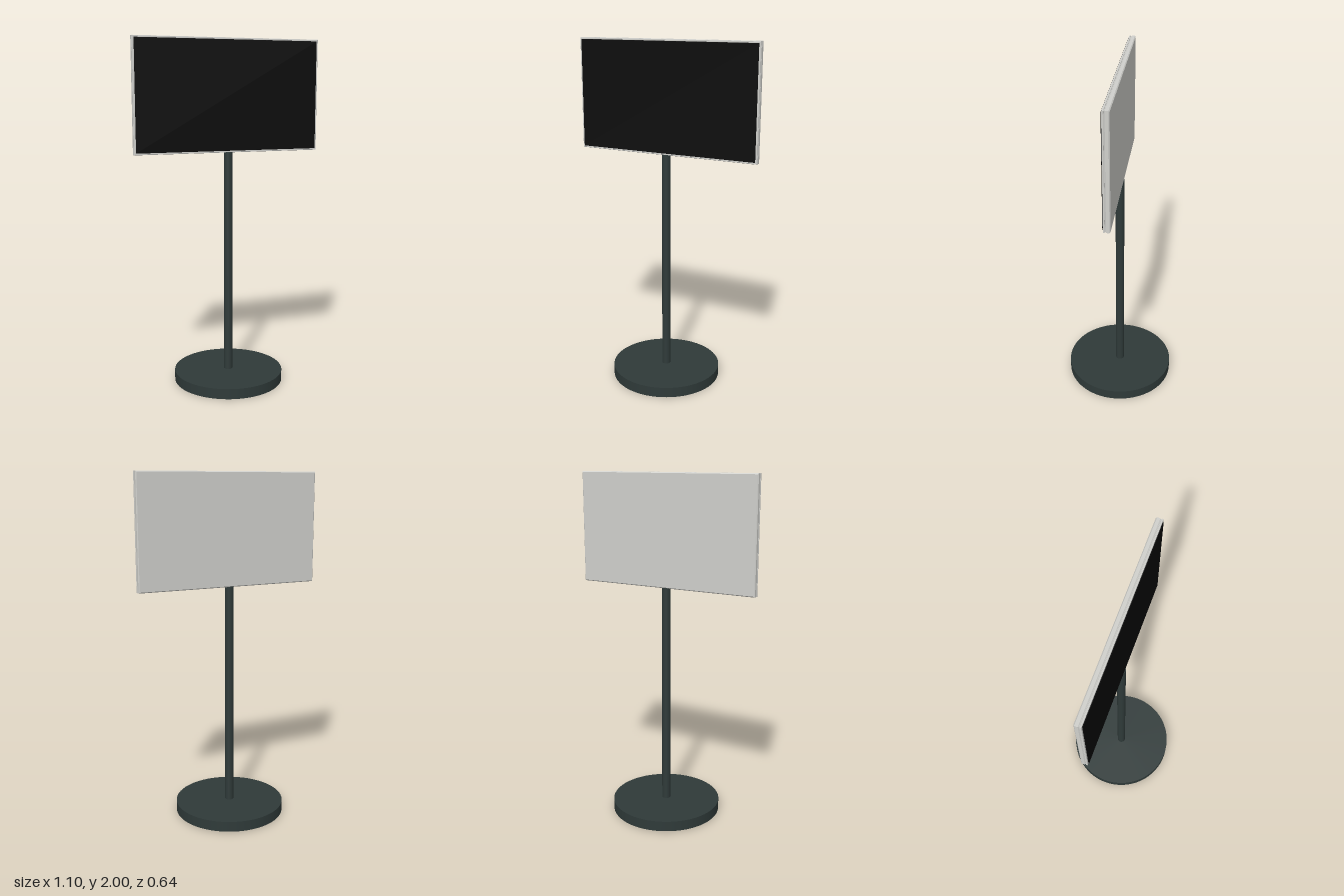
import * as THREE from 'three';

const darkMetal = new THREE.MeshStandardMaterial({ name: 'dark metal', color: 0x2f3a39 });
const lightGrey = new THREE.MeshStandardMaterial({ name: 'light grey', color: 0xd0d0cc });
const screenBlack = new THREE.MeshStandardMaterial({ name: 'screen black', color: 0x090909 });

const PANEL_Y = 1.68;

// Upright rectangular slab from z0 to z1 with chamfered edges
function slab(name, w, h, z0, z1, bevel, material) {
  const shape = new THREE.Shape([
    new THREE.Vector2(-w / 2, -h / 2), new THREE.Vector2(w / 2, -h / 2),
    new THREE.Vector2(w / 2, h / 2), new THREE.Vector2(-w / 2, h / 2),
  ]);
  const geometry = new THREE.ExtrudeGeometry(shape, {
    depth: z1 - z0 - 2 * bevel, bevelEnabled: true, bevelThickness: bevel,
    bevelSize: bevel, bevelOffset: -bevel, bevelSegments: 1,
  });
  const mesh = new THREE.Mesh(geometry, material);
  mesh.name = name;
  mesh.position.set(0, PANEL_Y, z0 + bevel);
  return mesh;
}

function cylinder(name, radius, y0, y1, segments) {
  const mesh = new THREE.Mesh(new THREE.CylinderGeometry(radius, radius, y1 - y0, segments), darkMetal);
  mesh.name = name;
  mesh.position.y = (y0 + y1) / 2;
  return mesh;
}

export function createModel() {
  const group = new THREE.Group();
  group.name = 'displayStand';

  // Round foot and pole
  group.add(cylinder('base', 0.32, 0, 0.06, 64));
  group.add(cylinder('pole', 0.025, 0.06, 1.362, 32));

  // Display: rear housing, recessed seam, front frame and screen
  const display = new THREE.Group();
  display.name = 'display';
  display.add(slab('rearHousing', 1.104, 0.64, -0.022, 0.005, 0.005, lightGrey));
  display.add(slab('seam', 1.096, 0.632, 0.002, 0.009, 0.001, lightGrey));
  display.add(slab('frontFrame', 1.104, 0.64, 0.006, 0.016, 0.002, lightGrey));
  display.add(slab('screen', 1.084, 0.62, 0.0155, 0.02, 0.001, screenBlack));
  group.add(display);

  return group;
}
